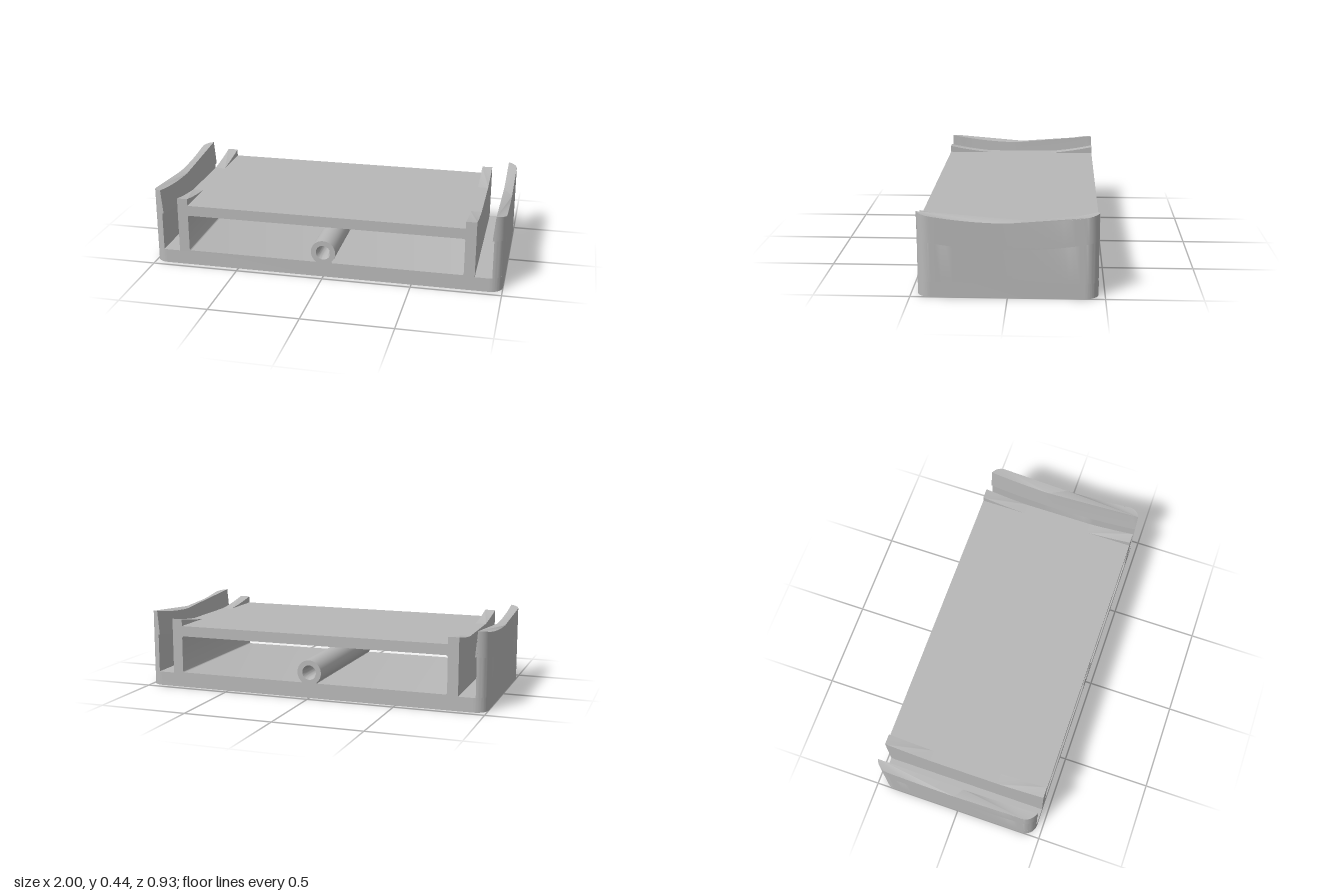
import * as THREE from 'three';
import { toCreasedNormals } from 'three/addons/utils/BufferGeometryUtils.js';

const HALF = 0.4665; // half depth
const R = 0.072;     // radius of the vertical corners
const FLOOR = 0.08;

// Concave sweep of the upper edges, lowest in the middle
const sweep = (z) => 0.395 + 0.045 * (z / HALF) ** 2;

// Upright prism over a plan outline, with bottom and top heights that vary with z
function prism(points, bottom, top, moveTop) {
  const shape = new THREE.Shape(points.map(([x, z]) => new THREE.Vector2(x, -z)));
  const g = new THREE.ExtrudeGeometry(shape, { depth: 1, bevelEnabled: false });
  g.rotateX(-Math.PI / 2);
  const p = g.attributes.position;
  for (let i = 0; i < p.count; i++) {
    const z = p.getZ(i);
    const isTop = p.getY(i) > 0.5;
    if (isTop && moveTop) p.setX(i, moveTop(p.getX(i)));
    p.setY(i, isTop ? top(z) : bottom(z));
  }
  return toCreasedNormals(g, 0.5);
}

// Plan of a side wall: straight inner edge, outer edge with rounded corners
function wallPlan(inner, side) {
  const zEnd = HALF - R + Math.sqrt(R * R - (inner - 1 + R) ** 2);
  const start = Math.asin((inner - 1 + R) / R);
  const pts = [];
  const n = 28;
  for (let i = 0; i <= n; i++) pts.push([inner, -zEnd + (2 * zEnd * i) / n]);
  for (let i = 1; i <= 10; i++) {
    const a = start + ((Math.PI / 2 - start) * i) / 10;
    pts.push([1 - R + R * Math.sin(a), HALF - R + R * Math.cos(a)]);
  }
  for (let i = 1; i < n; i++) pts.push([1, (HALF - R) * (1 - (2 * i) / n)]);
  for (let i = 10; i >= 1; i--) {
    const a = start + ((Math.PI / 2 - start) * i) / 10;
    pts.push([1 - R + R * Math.sin(a), -(HALF - R + R * Math.cos(a))]);
  }
  return pts.map(([x, z]) => [x * side, z]);
}

function roundedRect(target, x0, y0, x1, y1, r) {
  target.moveTo(x0 + r, y0);
  target.lineTo(x1 - r, y0);
  target.absarc(x1 - r, y0 + r, r, -Math.PI / 2, 0);
  target.lineTo(x1, y1 - r);
  target.absarc(x1 - r, y1 - r, r, 0, Math.PI / 2);
  target.lineTo(x0 + r, y1);
  target.absarc(x0 + r, y1 - r, r, Math.PI / 2, Math.PI);
  target.lineTo(x0, y0 + r);
  target.absarc(x0 + r, y0 + r, r, Math.PI, Math.PI * 1.5);
  return target;
}

export function createModel() {
  const model = new THREE.Group();
  model.name = 'tray';
  const grey = new THREE.MeshStandardMaterial({ color: 0xb8b8b8 });
  grey.name = 'grey plastic';
  const add = (name, geometry) => {
    const mesh = new THREE.Mesh(geometry, grey);
    mesh.name = name;
    model.add(mesh);
    return mesh;
  };

  // Base plate with rounded corners
  const baseShape = roundedRect(new THREE.Shape(), -1, -HALF, 1, HALF, R);
  const base = new THREE.ExtrudeGeometry(baseShape, { depth: FLOOR, bevelEnabled: false, curveSegments: 10 });
  base.rotateX(-Math.PI / 2);
  add('basePlate', toCreasedNormals(base, 0.5));

  // Box frame with a window running from front to back
  const frame = new THREE.Shape([
    new THREE.Vector2(-0.848, FLOOR), new THREE.Vector2(0.848, FLOOR),
    new THREE.Vector2(0.848, 0.36), new THREE.Vector2(-0.848, 0.36),
  ]);
  frame.holes.push(roundedRect(new THREE.Path(), -0.788, 0.086, 0.788, 0.3, 0.012));
  const frameGeo = new THREE.ExtrudeGeometry(frame, { depth: 2 * HALF, bevelEnabled: false, curveSegments: 5 });
  frameGeo.translate(0, 0, -HALF);
  add('innerFrame', toCreasedNormals(frameGeo, 0.5));

  for (const side of [1, -1]) {
    const label = side > 0 ? 'left' : 'right';

    // Outer wall, with a tapering lip that overhangs the slot
    const lipBottom = (z) => sweep(z) - 0.14;
    add(label + 'Wall', prism(wallPlan(0.943, side), () => FLOOR, lipBottom));
    add(label + 'WallLip', prism(wallPlan(0.934, side), lipBottom, sweep,
      (x) => (Math.abs(x) < 0.95 ? side * 0.947 : x)));

    // Curved ridges that rise from the deck towards the front and back
    for (const end of [1, -1]) {
      const pts = [];
      const n = 12;
      for (let i = 0; i <= n; i++) pts.push([0.788 * side, end * (0.2 + ((HALF - 0.2) * i) / n)]);
      for (let i = n; i >= 0; i--) pts.push([0.848 * side, end * (0.2 + ((HALF - 0.2) * i) / n)]);
      add(label + (end > 0 ? 'Front' : 'Back') + 'Ridge',
        prism(pts, () => 0.36, (z) => 0.36 + 0.04 * (z * z - 0.04) / (HALF * HALF - 0.04)));
    }
  }

  // Hollow tube with chamfered mouths, lying on the floor
  const profile = [[0.031, -HALF + 0.03], [0.041, -HALF], [0.07, -HALF], [0.07, HALF],
    [0.041, HALF], [0.031, HALF - 0.03], [0.031, -HALF + 0.03]];
  const tube = new THREE.LatheGeometry(profile.map(([r, y]) => new THREE.Vector2(r, y)), 40);
  tube.rotateX(Math.PI / 2);
  add('tube', toCreasedNormals(tube, 0.4)).position.y = 0.145;

  // Narrow foot joining the tube to the floor
  add('tubeFoot', new THREE.BoxGeometry(0.09, 0.012, 2 * HALF - 0.001)).position.y = 0.088;

  return model;
}
